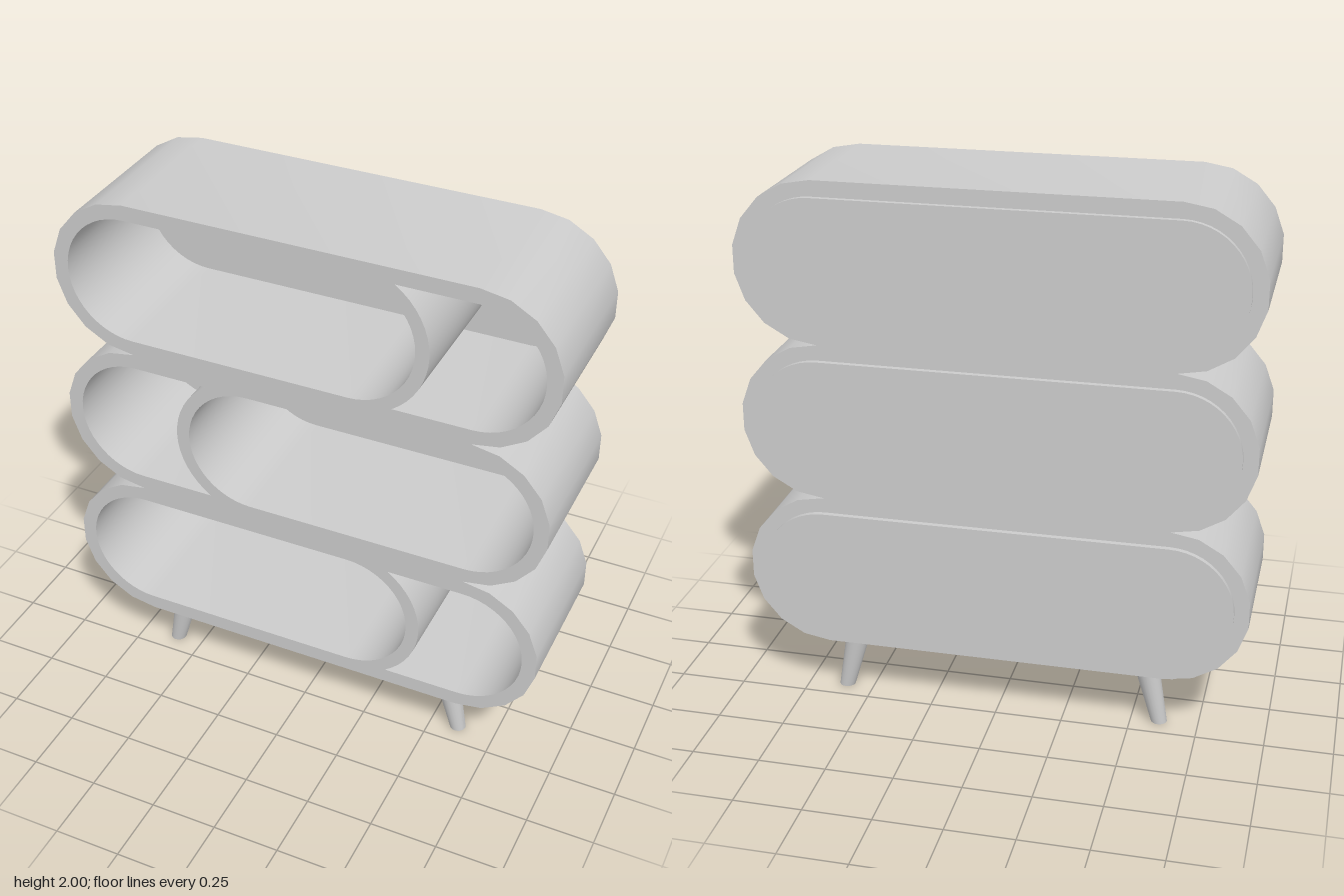
import * as THREE from 'three';
import { toCreasedNormals } from 'three/addons/utils/BufferGeometryUtils.js';

const TIER = 0.587, OUTER = 0.2935, INNER = 0.237, END = 0.632;
const FRONT = 0.29, BACK = -0.27, LEG = 0.24;

// Points along a circular arc centred on (cx, 0)
function arc(cx, r, from, to, segments) {
  return Array.from({ length: segments + 1 }, (_, i) => {
    const a = from + (to - from) * i / segments;
    return new THREE.Vector2(cx + r * Math.cos(a), r * Math.sin(a));
  });
}

// Pill outline between two end-circle centres
function pill(x0, x1, r, segments) {
  const h = Math.PI / 2;
  return [...arc(x1, r, -h, h, segments), ...arc(x0, r, h, 3 * h, segments)];
}

function extrude(shape, depth, z) {
  const geometry = new THREE.ExtrudeGeometry(shape, { depth, bevelEnabled: false });
  geometry.translate(0, 0, z);
  return toCreasedNormals(geometry, 0.5);
}

// Shelf body with a pill-shaped opening and a crescent-ended side opening
function shelfGeometry(side) {
  const flip = points => points.map(p => new THREE.Vector2(p.x * side, p.y));
  const dividerX = 0.19, dividerR = 0.286;
  const cusp = Math.asin(INNER / dividerR);
  const shape = new THREE.Shape(pill(-END, END, OUTER, 9));
  const main = pill(-END, dividerX, INNER, 24);
  const small = [
    ...arc(END, INNER, -Math.PI / 2, Math.PI / 2, 24),
    ...arc(dividerX, dividerR, cusp, -cusp, 16),
  ];
  shape.holes.push(new THREE.Path(flip(main)), new THREE.Path(flip(small)));
  return extrude(shape, FRONT - BACK, BACK);
}

// Tapered leg, sheared so its foot splays outward
function legGeometry(side) {
  const height = LEG + 0.01;
  const geometry = new THREE.CylinderGeometry(0.048, 0.03, height, 20);
  geometry.translate(0, height / 2, 0);
  const pos = geometry.attributes.position;
  for (let i = 0; i < pos.count; i++) {
    pos.setX(i, pos.getX(i) + side * (0.605 - 0.055 * pos.getY(i) / LEG));
  }
  geometry.computeVertexNormals();
  return toCreasedNormals(geometry, 0.6);
}

export function createModel() {
  const model = new THREE.Group();
  model.name = 'shelfUnit';
  const material = new THREE.MeshStandardMaterial({ color: 0xcccccc });
  const add = (name, geometry, x, y, z) => {
    const mesh = new THREE.Mesh(geometry, material);
    mesh.name = name;
    mesh.position.set(x, y, z);
    model.add(mesh);
  };

  // Three stacked shelves, the middle one mirrored, each with a back panel
  const panel = extrude(new THREE.Shape(pill(-END, END, INNER, 24)), 0.02, BACK - 0.02);
  [1, -1, 1].forEach((side, i) => {
    const y = LEG + TIER * (i + 0.5);
    add('shelf' + (i + 1), shelfGeometry(side), 0, y, 0);
    add('backPanel' + (i + 1), panel, 0, y, 0);
  });

  // Four splayed legs
  for (const side of [-1, 1]) {
    const leg = legGeometry(side);
    const label = side > 0 ? 'Left' : 'Right';
    add('front' + label + 'Leg', leg, 0, 0, 0.165);
    add('back' + label + 'Leg', leg, 0, 0, -0.165);
  }
  return model;
}
